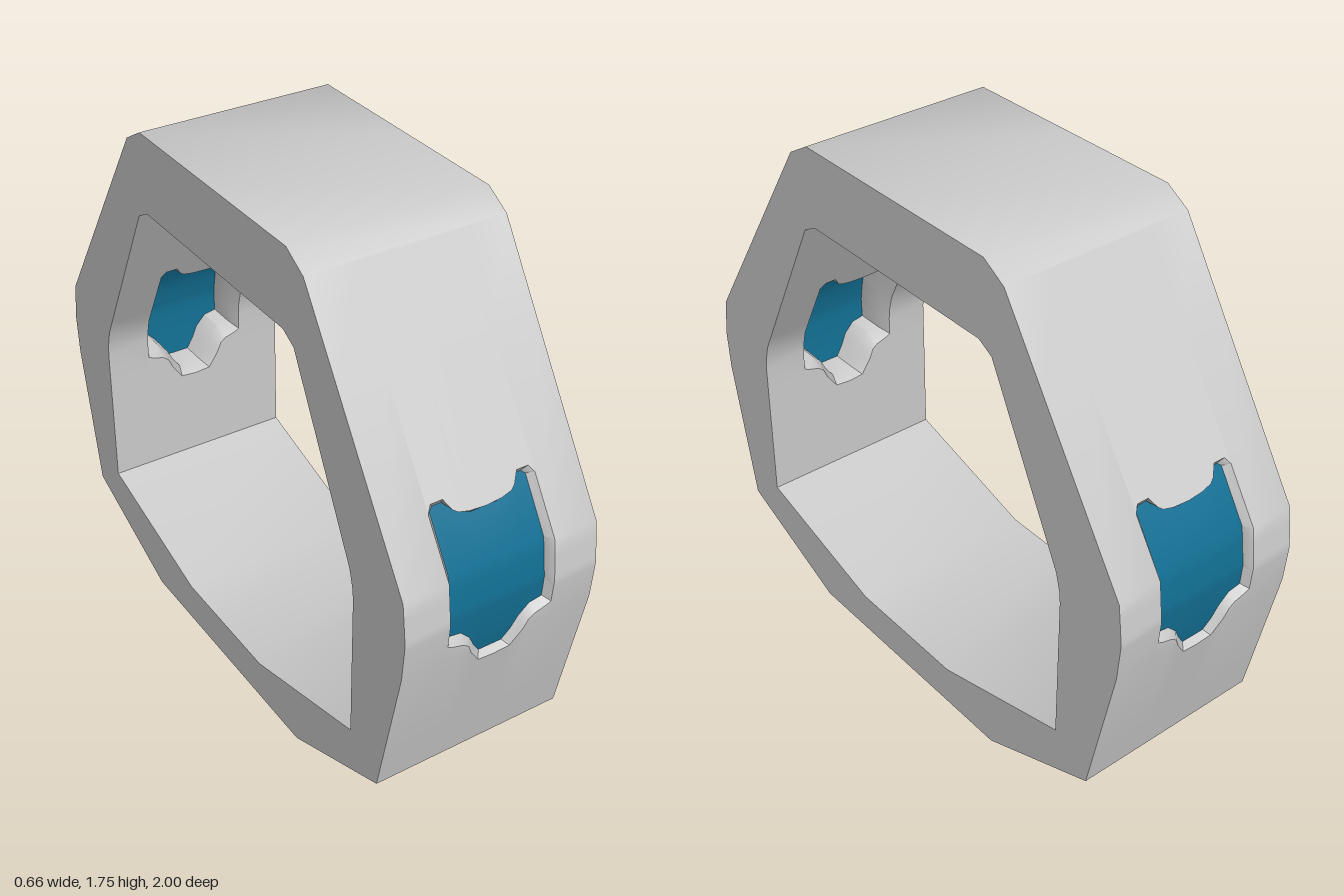
import * as THREE from 'three';
import { mergeGeometries, toCreasedNormals } from 'three/addons/utils/BufferGeometryUtils.js';

const W = 0.33; // half width of the band

// Half profiles [z, y], running from the top centre over the front to the bottom centre
const OUTER = [[0, 1.745], [0.41, 1.745], [0.495, 1.695], [0.983, 0.945], [1, 0.81],
  [0.99, 0.68], [0.89, 0.19], [0.45, 0], [0, 0]];
const INNER = [[0, 1.485], [0.39, 1.485], [0.445, 1.455], [0.73, 0.89], [0.746, 0.83],
  [0.75, 0.79], [0.75, 0.29], [0.225, 0.14], [0, 0.14]];
const FIRST = 2, LAST = 6; // profile points spanned by the window wall

// Half outlines of the window: wide at the wall faces, narrow around the pane
const WIDE = {
  x: [0, 0.055, 0.09, 0.105, 0.125, 0.165, 0.18],
  top: [1.08, 1.083, 1.09, 1.1, 1.13, 1.13, 1.11],
  bottom: [0.605, 0.61, 0.66, 0.695, 0.71, 0.722, 0.73],
};
const NARROW = {
  x: [0, 0.04, 0.065, 0.085, 0.12, 0.15, 0.163],
  top: [1.065, 1.065, 1.073, 1.083, 1.11, 1.11, 1.1],
  bottom: [0.625, 0.625, 0.66, 0.70, 0.735, 0.74, 0.743],
};

const BENDS = [...OUTER.slice(FIRST, LAST + 1), ...INNER.slice(FIRST, LAST + 1)]
  .map((p) => p[1]).sort((a, b) => a - b);

function profileZ(profile, y) {
  for (let i = FIRST; i < LAST; i++) {
    const [z0, y0] = profile[i], [z1, y1] = profile[i + 1];
    if (y >= y1 && y <= y0) return z1 + (z0 - z1) * (y - y1) / (y0 - y1);
  }
  return profile[y > 1 ? FIRST : LAST][0];
}

// Point in the front wall; t runs from the outer face (0) to the inner face (1)
const wallPoint = (x, y, t) =>
  [x, y, profileZ(OUTER, y) * (1 - t) + profileZ(INNER, y) * t];

function quad(out, a, b, c, d, flip = false) {
  const tri = (p, q, r) => {
    const [P, Q, R] = [p, q, r].map((v) => new THREE.Vector3(...v));
    if (Q.sub(P).cross(R.sub(P)).length() < 1e-9) return;
    out.push(...p, ...(flip ? r : q), ...(flip ? q : r));
  };
  tri(a, b, c);
  tri(a, c, d);
}

// Column of wall between two x values, bent at every profile corner
function column(out, x0, x1, low0, low1, high0, high1, t, flip) {
  const rows = (lo, hi) => [lo, ...BENDS.map((y) => Math.min(hi, Math.max(lo, y))), hi];
  const r0 = rows(low0, high0), r1 = rows(low1, high1);
  for (let i = 0; i + 1 < r0.length; i++) {
    quad(out, wallPoint(x0, r0[i], t), wallPoint(x1, r1[i], t),
      wallPoint(x1, r1[i + 1], t), wallPoint(x0, r0[i + 1], t), flip);
  }
}

// Mirrors a half outline to run from left to right
function fullOutline({ x, top, bottom }) {
  const mirror = (a, s) => [...a.slice(1).reverse().map((v) => v * s), ...a];
  return { x: mirror(x, -1), top: mirror(top, 1), bottom: mirror(bottom, 1) };
}

// Counter-clockwise window loop as [x, y] points
function loopPoints(outline) {
  const { x, top, bottom } = fullOutline(outline);
  const n = x.length - 1;
  const sides = BENDS.filter((y) => y > 0.75 && y < 1.09);
  return [
    ...x.map((v, i) => [v, bottom[i]]),
    ...sides.map((y) => [x[n], y]),
    ...x.map((v, i) => [v, top[i]]).reverse(),
    ...[...sides].reverse().map((y) => [x[0], y]),
  ];
}

function reveal(out, from, t0, to, t1) {
  const A = loopPoints(from), B = loopPoints(to);
  A.forEach((p, i) => {
    const j = (i + 1) % A.length;
    quad(out, wallPoint(...p, t0), wallPoint(...A[j], t0),
      wallPoint(...B[j], t1), wallPoint(...B[i], t1));
  });
}

// Wall face with the window left open
function windowedFace(out, profile, t, flip) {
  const { x, top, bottom } = fullOutline(WIDE);
  const lo = profile[LAST][1], hi = profile[FIRST][1], n = x.length - 1;
  column(out, -W, x[0], lo, lo, hi, hi, t, flip);
  column(out, x[n], W, lo, lo, hi, hi, t, flip);
  for (let i = 0; i < n; i++) {
    column(out, x[i], x[i + 1], lo, lo, bottom[i], bottom[i + 1], t, flip);
    column(out, x[i], x[i + 1], top[i], top[i + 1], hi, hi, t, flip);
  }
}

function toGeometry(positions) {
  const g = new THREE.BufferGeometry();
  g.setAttribute('position', new THREE.Float32BufferAttribute(positions, 3));
  return g;
}

function buildHalfBand() {
  const out = [];
  const at = (x, [z, y]) => [x, y, z];
  for (let i = 0; i + 1 < OUTER.length; i++) {
    const o0 = OUTER[i], o1 = OUTER[i + 1], n0 = INNER[i], n1 = INNER[i + 1];
    // flat side faces
    for (const s of [1, -1]) {
      quad(out, at(s * W, o0), at(s * W, o1), at(s * W, n1), at(s * W, n0), s < 0);
    }
    // plain top and bottom stretches
    if (i >= FIRST && i < LAST) continue;
    quad(out, at(-W, o0), at(-W, o1), at(W, o1), at(W, o0));
    quad(out, at(-W, n0), at(-W, n1), at(W, n1), at(W, n0), true);
  }
  windowedFace(out, OUTER, 0, false);
  windowedFace(out, INNER, 1, true);
  // bevelled window frame on both faces
  reveal(out, WIDE, 0, NARROW, 0.1);
  reveal(out, NARROW, 0.1, NARROW, 0.8);
  reveal(out, NARROW, 0.8, WIDE, 1);
  return toGeometry(out);
}

function buildPane() {
  const out = [];
  const { x, top, bottom } = fullOutline(NARROW);
  for (let i = 0; i + 1 < x.length; i++) {
    for (const [t, flip] of [[0.1, false], [0.42, true]]) {
      column(out, x[i], x[i + 1], bottom[i], bottom[i + 1], top[i], top[i + 1], t, flip);
    }
  }
  return toCreasedNormals(toGeometry(out), 0.6);
}

export function createModel() {
  const group = new THREE.Group();
  group.name = 'windowedBand';

  // band: the front half and its half-turn copy
  const half = buildHalfBand();
  const band = new THREE.Mesh(
    toCreasedNormals(mergeGeometries([half, half.clone().rotateY(Math.PI)]), 0.6),
    new THREE.MeshStandardMaterial({ color: 0xcccccc }));
  band.name = 'band';
  group.add(band);

  // blue window panes
  const blue = new THREE.MeshStandardMaterial({ color: 0x126f93 });
  const paneGeometry = buildPane();
  ['frontPane', 'backPane'].forEach((name, i) => {
    const pane = new THREE.Mesh(paneGeometry, blue);
    pane.name = name;
    pane.rotation.y = i * Math.PI;
    group.add(pane);
  });
  return group;
}
